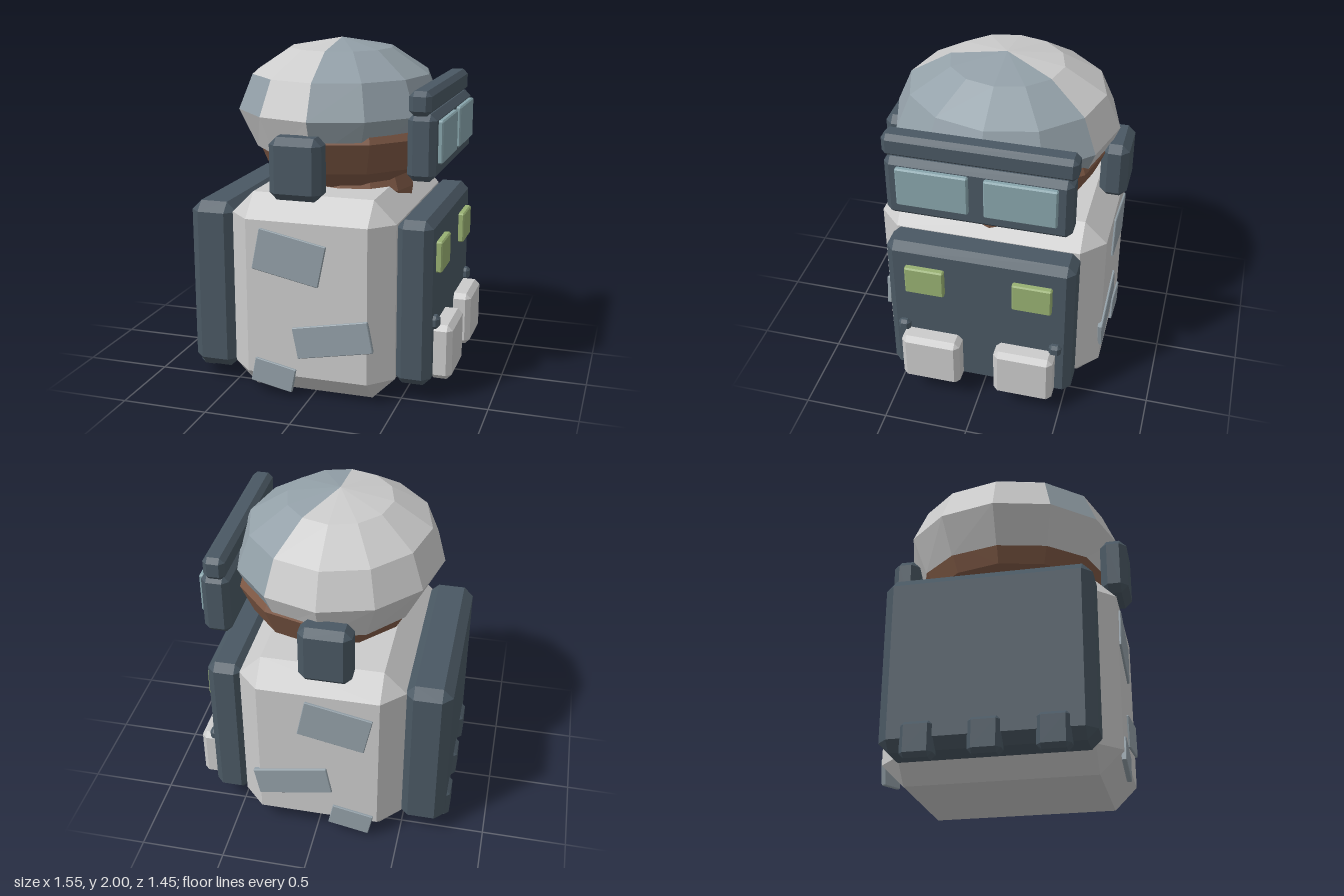
import * as THREE from 'three';
import { ConvexGeometry } from 'three/addons/geometries/ConvexGeometry.js';

const mat = (color) => new THREE.MeshStandardMaterial({ color, flatShading: true });
const grey = mat(0xcccccc), dark = mat(0x4a5863), blue = mat(0x93a0a8);
const lensBlue = mat(0x88a5ac), green = mat(0x98b072), brown = mat(0x805a46);

// Box with every edge cut at 45 degrees, given by its ranges on x, y and z
function chamferBox(name, [x0, x1], [y0, y1], [z0, z1], c, material) {
  const half = [(x1 - x0) / 2, (y1 - y0) / 2, (z1 - z0) / 2];
  const points = [];
  for (const sx of [-1, 1]) for (const sy of [-1, 1]) for (const sz of [-1, 1]) {
    for (let full = 0; full < 3; full++) {
      const [a, b, d] = half.map((h, i) => (i === full ? h : h - c));
      points.push(new THREE.Vector3(a * sx, b * sy, d * sz));
    }
  }
  const mesh = new THREE.Mesh(new ConvexGeometry(points), material);
  mesh.position.set((x0 + x1) / 2, (y0 + y1) / 2, (z0 + z1) / 2);
  mesh.name = name;
  return mesh;
}

// Faceted dome built ring by ring, with some facets in a second colour
function helmet() {
  const rings = [[0, 2.0, 1], [0.5, 1.946, 1], [0.866, 1.8, 1], [1, 1.6, 1], [0.87, 1.38, 0.94]];
  const corner = (i, k) => {
    const [r, y, squeeze] = rings[i];
    const a = (k * Math.PI) / 6;
    return [-0.01 + 0.605 * r * squeeze * Math.cos(a), y, 0.655 * r * Math.sin(a)];
  };
  const plain = [], tinted = [];
  for (let i = 0; i < 4; i++) for (let k = -2; k < 10; k++) {
    const out = k <= 2 || (i === 2 && k === 4) ? tinted : plain;
    const a = corner(i, k), b = corner(i, k + 1), c = corner(i + 1, k + 1), d = corner(i + 1, k);
    out.push(...a, ...c, ...d);
    if (i > 0) out.push(...a, ...b, ...c);
  }
  const group = new THREE.Group();
  group.name = 'helmet';
  for (const [name, pos, base] of [['helmetShell', plain, grey], ['helmetTintedFacets', tinted, blue]]) {
    const geo = new THREE.BufferGeometry();
    geo.setAttribute('position', new THREE.Float32BufferAttribute(pos, 3));
    geo.computeVertexNormals();
    const m = base.clone();
    m.side = THREE.DoubleSide;
    const mesh = new THREE.Mesh(geo, m);
    mesh.name = name;
    group.add(mesh);
  }
  return group;
}

export function createModel() {
  const model = new THREE.Group();
  const box = (...args) => {
    const mesh = chamferBox(...args);
    model.add(mesh);
    return mesh;
  };

  // Torso, chest panel and backpack
  box('torso', [-0.5, 0.47], [0, 1.17], [-0.67, 0.67], 0.13, grey);
  box('chestPanel', [0.46, 0.67], [0.1, 1.065], [-0.55, 0.55], 0.045, dark);
  box('backpack', [-0.76, -0.485], [0.08, 1.09], [-0.58, 0.58], 0.057, dark);
  for (const z of [-0.36, 0, 0.36]) {
    box('backpackClip', [-0.78, -0.67], [0.03, 0.23], [z - 0.09, z + 0.09], 0.025, dark);
  }

  // Head and neck
  const head = new THREE.Mesh(new THREE.SphereGeometry(1, 12, 6), brown);
  head.scale.set(0.555, 0.36, 0.6);
  head.position.set(0.03, 1.469, 0);
  head.name = 'head';
  const profile = [[0, 1.0], [0.33, 1.0], [0.35, 1.14], [0.32, 1.225], [0, 1.225]];
  const neck = new THREE.Mesh(
    new THREE.LatheGeometry(profile.map(([r, y]) => new THREE.Vector2(r, y)), 12), brown);
  neck.position.x = 0.08;
  neck.name = 'neck';
  model.add(head, neck, helmet());

  // Visor with brow bar
  box('visor', [0.51, 0.67], [1.28, 1.65], [-0.52, 0.52], 0.035, dark);
  box('visorBrow', [0.52, 0.645], [1.64, 1.775], [-0.535, 0.535], 0.028, dark);

  // Paired parts, mirrored across z
  const patches = [
    [-0.114, 0.838, 0.4, 0.245, -0.2],
    [0.14, 0.377, 0.45, 0.185, 0.19],
    [-0.212, 0.127, 0.25, 0.145, -0.2],
  ];
  for (const s of [1, -1]) {
    const span = (a, b) => (s > 0 ? [a, b] : [-b, -a]);
    box('visorLens', [0.64, 0.697], [1.372, 1.61], span(0.043, 0.445), 0.008, lensBlue);
    box('earPiece', [-0.215, 0.085], [1.17, 1.52], span(0.565, 0.725), 0.042, dark);
    box('chestLight', [0.65, 0.705], [0.75, 0.93], span(0.2, 0.43), 0.008, green);
    box('pouch', [0.64, 0.775], [0.12, 0.445], span(0.103, 0.457), 0.03, grey);
    box('chestKnob', [0.64, 0.705], [0.435, 0.51], span(0.42, 0.492), 0.018, dark);
    for (const [x, y, w, h, tilt] of patches) {
      const patch = box('sidePatch', [x - w / 2, x + w / 2], [y - h / 2, y + h / 2],
        span(0.655, 0.683), 0.004, blue);
      patch.rotation.z = tilt * s;
    }
  }
  return model;
}
